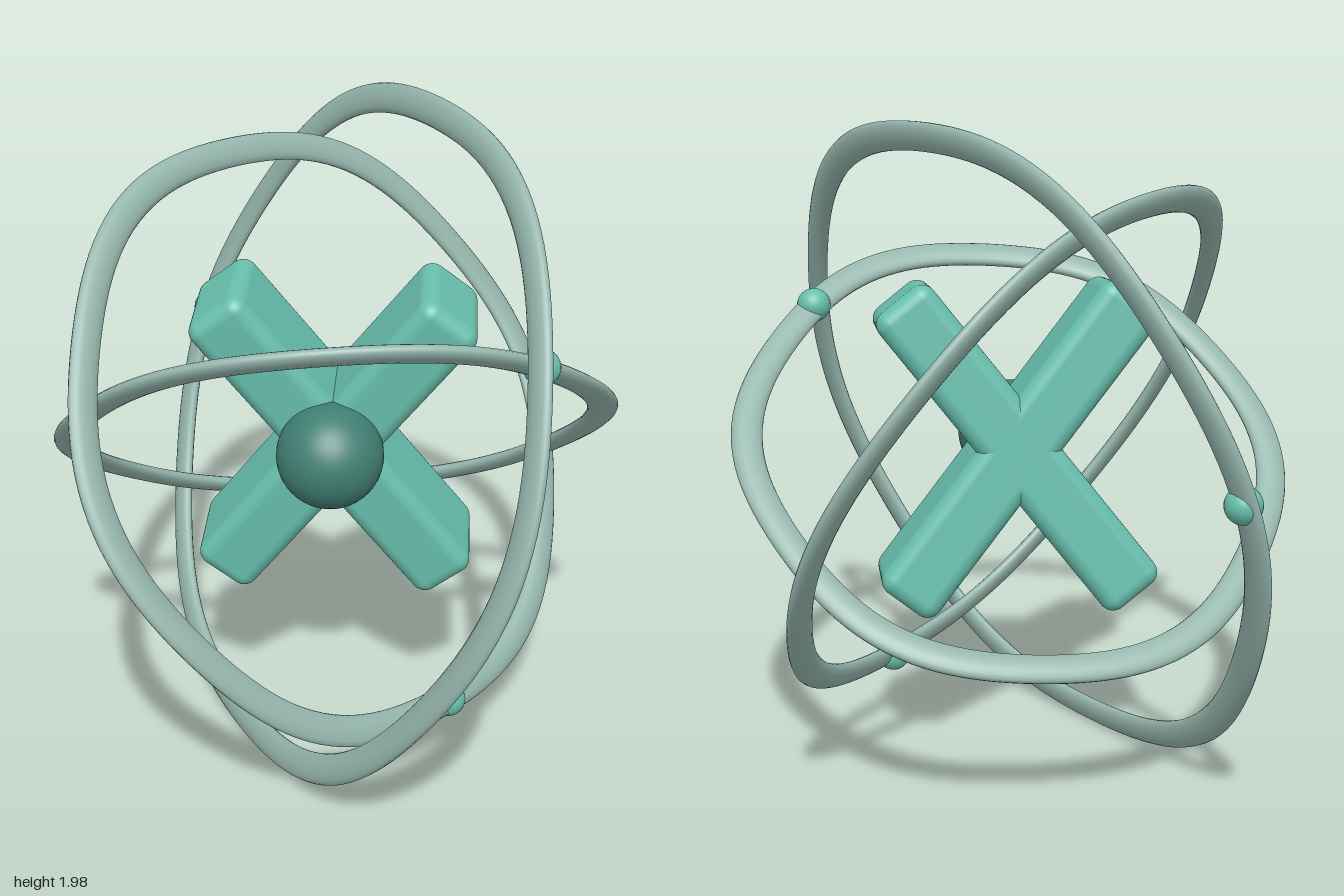
import * as THREE from 'three';
import { RoundedBoxGeometry } from 'three/addons/geometries/RoundedBoxGeometry.js';

function flatColour(name, hex) {
  const m = new THREE.MeshStandardMaterial({ color: hex });
  m.name = name;
  return m;
}

// Torus bent very slightly towards a hexagon, with corners every 60 degrees from +x
function softHexRing(radius) {
  const geometry = new THREE.TorusGeometry(radius, 0.046, 16, 144);
  const p = geometry.attributes.position;
  for (let i = 0; i < p.count; i++) {
    const k = 1 + 0.013 * Math.cos(6 * Math.atan2(p.getY(i), p.getX(i)));
    p.setXY(i, p.getX(i) * k, p.getY(i) * k);
  }
  return geometry;
}

export function createModel() {
  const model = new THREE.Group();
  model.name = 'orbitModel';
  const teal = flatColour('teal', 0x68bfad);
  const paleTeal = flatColour('paleGreyTeal', 0x95b6ad);
  const darkTeal = flatColour('darkTeal', 0x417f73);

  function add(parent, geometry, material, name) {
    const mesh = new THREE.Mesh(geometry, material);
    mesh.name = name;
    parent.add(mesh);
    return mesh;
  }

  // Everything is built around the origin and lifted to the centre height
  const core = new THREE.Group();
  core.name = 'core';
  core.position.y = 1;
  model.add(core);

  // Crossed bars, leaning slightly forward at the top
  const cross = new THREE.Group();
  cross.name = 'cross';
  cross.rotation.x = 0.095;
  core.add(cross);
  for (const side of [1, -1]) {
    const bar = add(cross, new RoundedBoxGeometry(1.155, 0.205, 0.33, 5, 0.045), teal,
      side > 0 ? 'risingBar' : 'fallingBar');
    bar.rotation.z = side * THREE.MathUtils.degToRad(52);
  }

  // Ball on the front of the cross
  add(core, new THREE.SphereGeometry(0.16, 40, 28), darkTeal, 'centreBall').position.set(-0.005, 0, 0.19);

  // Flattened rings, each with a small bead; corner is the direction of one soft corner
  const rings = [
    { name: 'inner', radius: 0.8, normal: [-0.1, 0.775, -0.623], corner: [1, 0, 0], bead: [0.595, 0.38, 0.375] },
    { name: 'middle', radius: 0.91, normal: [0.67, 0.524, 0.524], corner: [1, 0, -1], bead: [0.365, -0.77, 0.295] },
    { name: 'outer', radius: 1.013, normal: [0.817, -0.325, -0.476], corner: [0.5, 0, 0.86], bead: [-0.5, 0.04, -0.88] },
  ];
  for (const { name, radius, normal, corner, bead } of rings) {
    const n = new THREE.Vector3(...normal).normalize();
    const u = new THREE.Vector3(...corner).projectOnPlane(n).normalize();
    const v = new THREE.Vector3().crossVectors(n, u);
    const ring = add(core, softHexRing(radius), paleTeal, name + 'Ring');
    ring.scale.z = 0.5;
    ring.quaternion.setFromRotationMatrix(new THREE.Matrix4().makeBasis(u, v, n));
    add(core, new THREE.SphereGeometry(0.053, 24, 16), teal, name + 'Bead').position.set(...bead);
  }
  return model;
}
